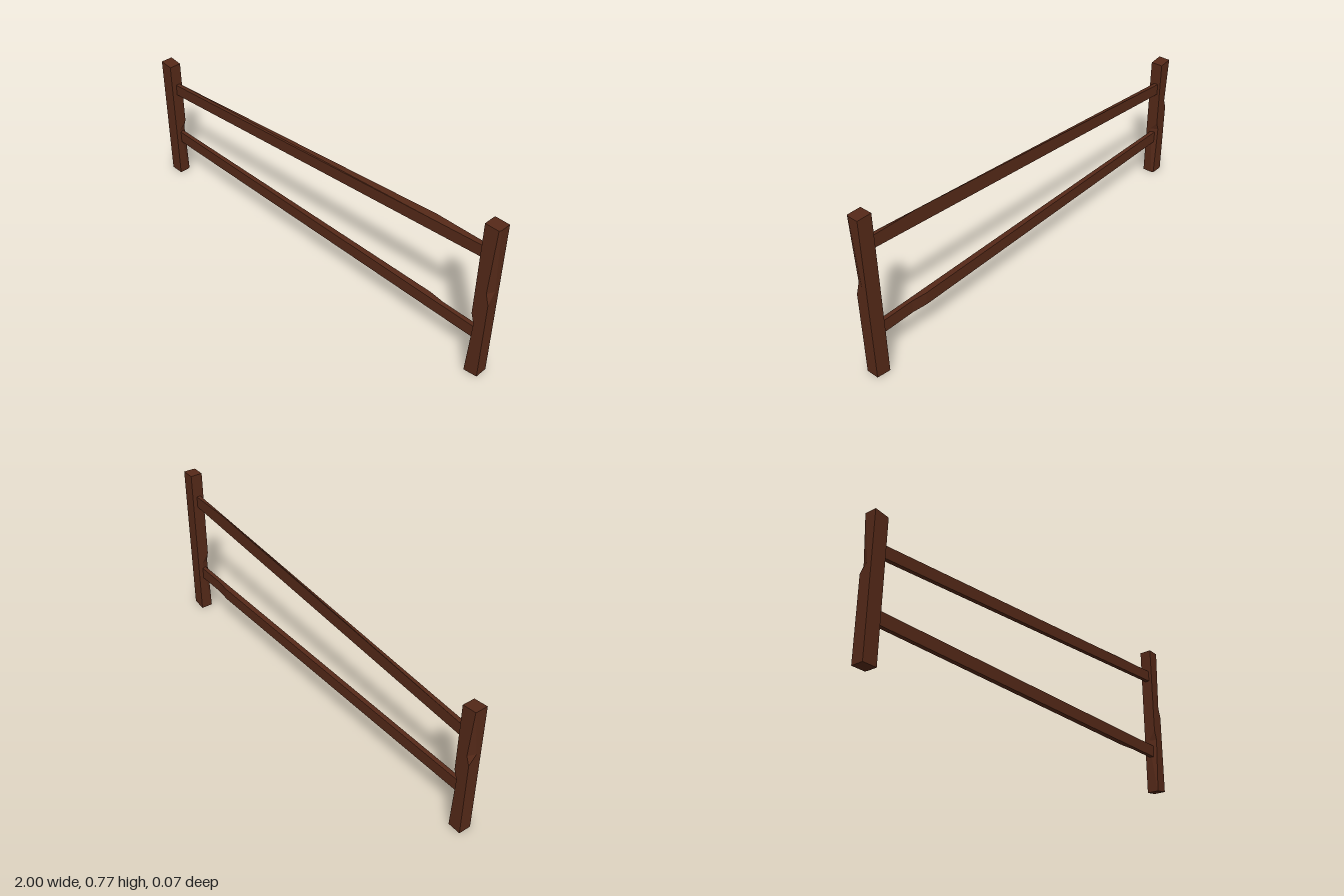
import * as THREE from 'three';

const wood = new THREE.MeshStandardMaterial({ color: 0x552918, flatShading: true });

// Skins a row of equal-length rings (counter-clockwise about the axis) and caps both ends.
function loft(name, rings) {
  const n = rings[0].length;
  const index = [];
  for (let r = 0; r < rings.length - 1; r++) {
    for (let i = 0; i < n; i++) {
      const j = (i + 1) % n;
      const a = r * n + i, b = r * n + j;
      index.push(a, b, b + n, a, b + n, a + n);
    }
  }
  const last = (rings.length - 1) * n;
  for (let i = 1; i < n - 1; i++) {
    index.push(0, i + 1, i);
    index.push(last, last + i, last + i + 1);
  }
  const indexed = new THREE.BufferGeometry();
  indexed.setAttribute('position', new THREE.Float32BufferAttribute(rings.flat(2), 3));
  indexed.setIndex(index);
  const geometry = indexed.toNonIndexed();
  geometry.computeVertexNormals();
  const mesh = new THREE.Mesh(geometry, wood);
  mesh.name = name;
  return mesh;
}

// Square post with long hewn chips on its two front corners and a slightly slanted foot.
function createPost(name) {
  const w = 0.033, front = 0.025, back = -0.033;
  const levels = [ // height, inner chip, outer chip
    [0, 0.06, 0], [0.27, 1, 0], [0.32, 0, 0],
    [0.405, 0, 0], [0.455, 0, 1], [0.767, 0, 0.28],
  ];
  return loft(name, levels.map(([y, inner, outer]) => [
    [-w, front - 0.035 * inner],
    [-w + 0.015 * inner, front],
    [w - 0.015 * outer, front],
    [w, front - 0.035 * outer],
    [w, back],
    [-w, back],
  ].map(([x, z]) => [x, y === 0 ? 0.01 * (x + w) / (2 * w) : y, z])));
}

// Thin plank from one post to the other; its back edge swells near the tall post.
function createRail(name, yStart, yEnd, height, stations) {
  const x0 = -0.95, x1 = 0.95, front = 0.009, back = -0.011;
  return loft(name, stations.map(([x, rise, swell]) => {
    const y = THREE.MathUtils.mapLinear(x, x0, x1, yStart, yEnd);
    return [
      [x, y + height + rise, back - swell],
      [x, y + height, front],
      [x, y, front],
      [x, y, back - swell],
    ];
  }));
}

export function createModel() {
  const group = new THREE.Group();
  group.name = 'fence';

  const tallPost = createPost('tallPost');
  tallPost.position.x = 0.967;

  // The short post is the same timber, shortened and stood upside down.
  const shortPost = createPost('shortPost');
  shortPost.rotation.x = Math.PI;
  shortPost.scale.y = 0.63 / 0.767;
  shortPost.position.set(-0.967, 0.63, 0);

  const upperRail = createRail('upperRail', 0.459, 0.596, 0.055,
    [[-0.95, 0, 0], [0.7, 0.017, 0], [0.78, 0.011, 0], [0.95, 0, 0]]);
  const lowerRail = createRail('lowerRail', 0.181, 0.181, 0.058,
    [[-0.95, 0, 0], [0.7, 0, 0.008], [0.77, 0, 0], [0.95, 0, 0]]);

  group.add(tallPost, shortPost, upperRail, lowerRail);
  return group;
}
